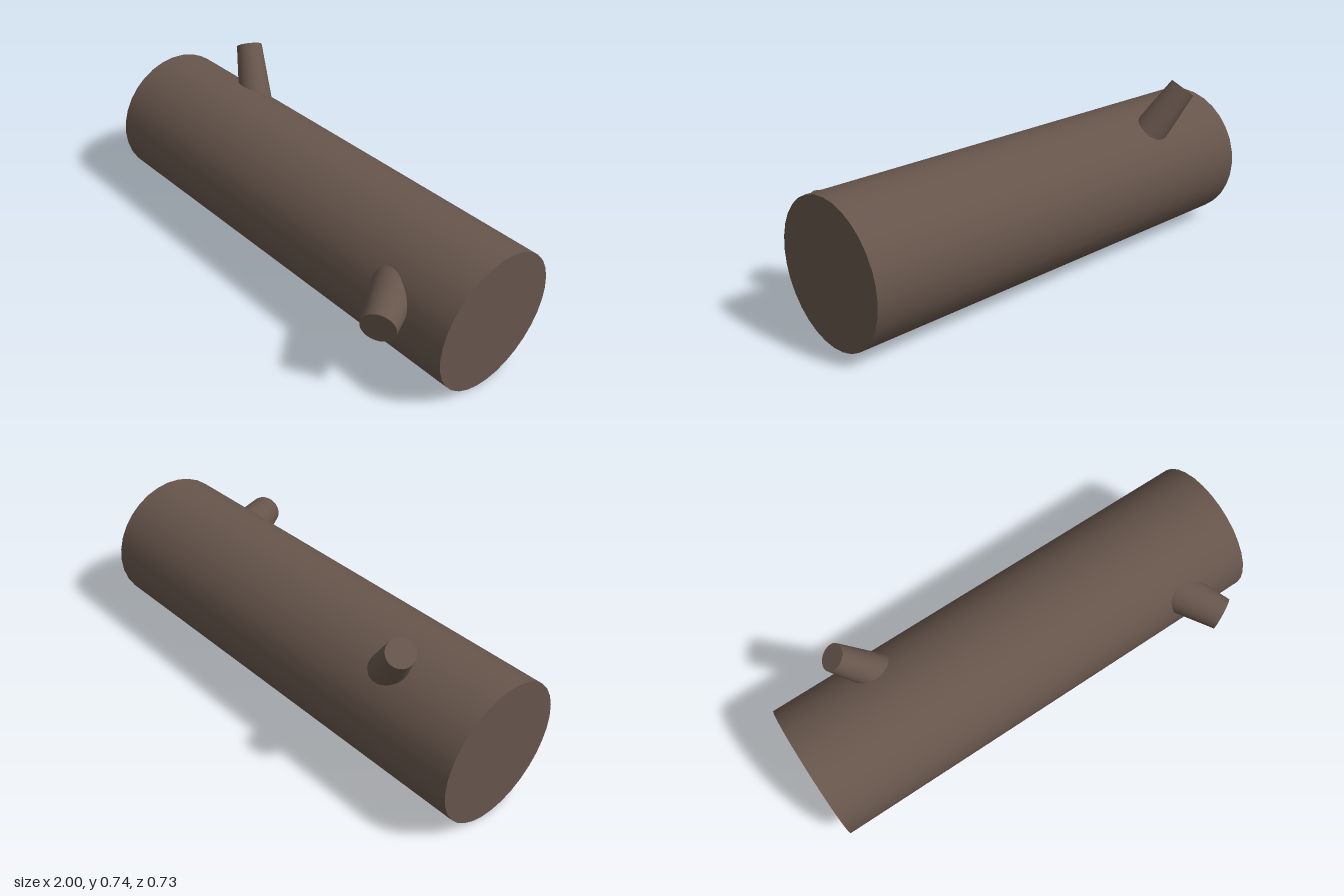
import * as THREE from 'three';

export function createModel() {
  const group = new THREE.Group();
  const bark = new THREE.MeshStandardMaterial({ color: 0x66554b });
  bark.name = 'brown bark';

  // Tapered round limb between two points
  function limb(name, start, end, startRadius, endRadius) {
    const a = new THREE.Vector3(...start);
    const b = new THREE.Vector3(...end);
    const dir = b.clone().sub(a);
    const mesh = new THREE.Mesh(
      new THREE.CylinderGeometry(endRadius, startRadius, dir.length(), 32), bark);
    mesh.name = name;
    mesh.position.copy(a).add(b).multiplyScalar(0.5);
    mesh.quaternion.setFromUnitVectors(new THREE.Vector3(0, 1, 0), dir.normalize());
    group.add(mesh);
  }

  // Fallen trunk lying along x
  limb('trunk', [-1, 0.297, -0.069], [1, 0.297, -0.069], 0.296, 0.296);

  // Broken branch stubs, rooted inside the trunk
  limb('upperBackBranch', [-0.508, 0.42, -0.182], [-0.692, 0.702, -0.29], 0.082, 0.057);
  limb('frontBranch', [0.625, 0.411, 0.03], [0.792, 0.372, 0.332], 0.103, 0.07);

  return group;
}
